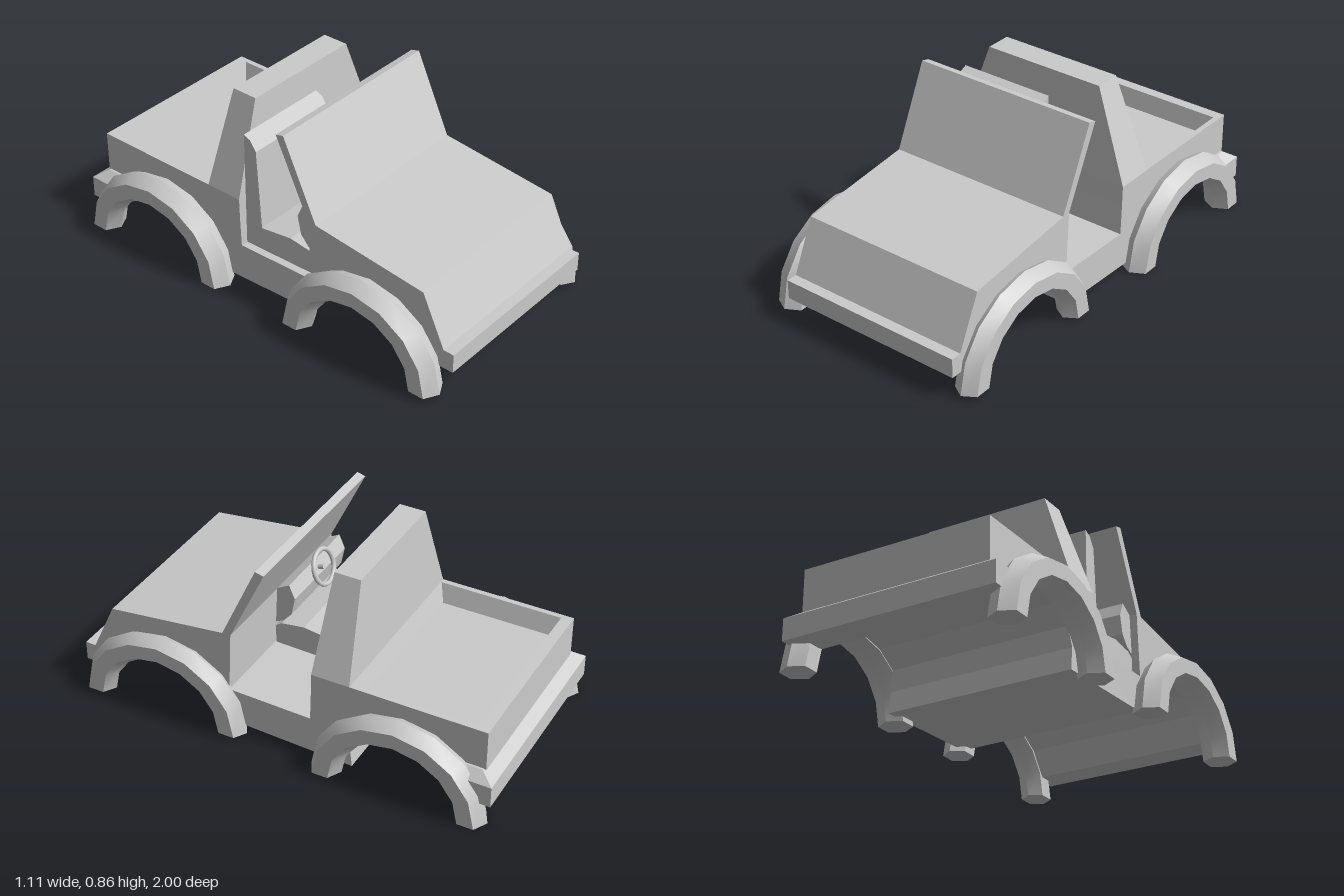
import * as THREE from 'three';
import { mergeGeometries, toCreasedNormals } from 'three/addons/utils/BufferGeometryUtils.js';

const flat = new THREE.MeshStandardMaterial({ color: 0xcccccc, flatShading: true });
const smooth = new THREE.MeshStandardMaterial({ color: 0xcccccc });
const X0 = -0.435, X1 = 0.455;

function part(name, geometry, material = flat) {
  const mesh = new THREE.Mesh(geometry, material);
  mesh.name = name;
  return mesh;
}

// Side profile of [z, y] points, extruded across from x0 to x1
function sideExtrude(points, x0 = X0, x1 = X1) {
  const shape = new THREE.Shape(points.map(([z, y]) => new THREE.Vector2(z, y)));
  const g = new THREE.ExtrudeGeometry(shape, { depth: x1 - x0, bevelEnabled: false });
  return g.rotateY(-Math.PI / 2).translate(x1, 0, 0);
}

// Rectangular sections [x0, x1, z0, z1, y] joined in order, closed at both ends
function loft(sections) {
  const pos = [], index = [];
  for (const [x0, x1, z0, z1, y] of sections) pos.push(x0, y, z1, x1, y, z1, x1, y, z0, x0, y, z0);
  for (let s = 0; s < sections.length - 1; s++) {
    for (let i = 0; i < 4; i++) {
      const a = s * 4 + i, b = s * 4 + (i + 1) % 4;
      index.push(a, b, b + 4, a, b + 4, a + 4);
    }
  }
  const t = (sections.length - 1) * 4;
  index.push(0, 2, 1, 0, 3, 2, t, t + 1, t + 2, t, t + 2, t + 3);
  const g = new THREE.BufferGeometry();
  g.setAttribute('position', new THREE.Float32BufferAttribute(pos, 3));
  g.setIndex(index);
  const out = g.toNonIndexed();
  out.computeVertexNormals();
  return out;
}

// Points of a wheel arch, angles in steps of 22.5 degrees from the front
function arch(cz, cy, rz, ry, from, to) {
  const pts = [];
  for (let i = from; i <= to; i++) {
    const a = i * Math.PI / 8;
    pts.push([cz + rz * Math.cos(a), cy + ry * Math.sin(a)]);
  }
  return pts;
}

// Half ring with a six-sided section, standing on its two ends
function fender(lo, hi, cz, cy, sy) {
  const mid = (lo + hi) / 2;
  const ring = [[0.375, lo], [0.41, mid], [0.375, hi], [0.3, hi], [0.265, mid], [0.3, lo]];
  const profile = [...ring, ring[0]].map(([r, x]) => new THREE.Vector2(r, x));
  const pieces = [new THREE.LatheGeometry(profile, 8, Math.PI, Math.PI).rotateZ(-Math.PI / 2)];
  for (const s of [1, -1]) {
    const end = new THREE.Shape(ring.map(([r, x]) => new THREE.Vector2(x, s * r)));
    pieces.push(new THREE.ShapeGeometry(end).rotateX(Math.PI / 2));
  }
  const g = mergeGeometries(pieces.map((p) => p.toNonIndexed()));
  return toCreasedNormals(g.scale(1, sy, 1).translate(0, cy, cz), 0.5);
}

export function createModel() {
  const car = new THREE.Group();
  car.name = 'openTruck';

  // Hood, floor and tub base in one profile, with both wheel arches cut through
  car.add(part('body', sideExtrude([
    [1, 0.11], [1, 0.2], [0.95, 0.2], [0.84, 0.435], [0.28, 0.5], [0.24, 0.5],
    [0.255, 0.21], [-0.14, 0.2], [-0.145, 0.34], [-0.95, 0.34], [-0.95, 0.11],
    ...arch(-0.575, 0.005, 0.3, 0.28, 2, 7).reverse(),
    [-0.33, 0.12], [-0.34, 0.02], [0.17, 0.04], [0.25, 0.05],
    ...arch(0.57, 0.02, 0.31, 0.28, 1, 7).reverse(), [0.87, 0.11],
  ])));

  // Windshield
  car.add(part('windshield', sideExtrude([[0.28, 0.5], [0.24, 0.5], [0.07, 0.855], [0.11, 0.865]])));

  // Cargo bed with sloping inner walls
  car.add(part('cargoBed', loft([
    [X0, X1, -0.95, -0.145, 0.34], [X0, X1, -0.95, -0.147, 0.435],
    [-0.41, 0.43, -0.9, -0.33, 0.435], [-0.38, 0.4, -0.875, -0.355, 0.35],
  ])));

  // Tapered cab back
  car.add(part('cabBack', loft([
    [X0, X1, -0.325, -0.147, 0.435], [-0.29, 0.3, -0.295, -0.172, 0.863],
  ])));

  // Rear bumper with a sloped top
  car.add(part('rearBumper', loft([
    [-0.495, 0.51, -1, -0.87, 0.11], [-0.495, 0.51, -1, -0.87, 0.21], [-0.445, 0.465, -0.94, -0.85, 0.25],
  ])));

  // Seat
  const seat = new THREE.Group();
  seat.name = 'seat';
  seat.add(part('seatCushion', sideExtrude(
    [[0.25, 0.2], [0.25, 0.3], [0.22, 0.32], [0.11, 0.335], [-0.06, 0.312], [-0.14, 0.31], [-0.14, 0.2]], -0.4, 0.06)));
  seat.add(part('seatBack', sideExtrude(
    [[-0.05, 0.3], [-0.075, 0.69], [-0.105, 0.735], [-0.14, 0.75], [-0.14, 0.3]], -0.4, 0.06)));
  car.add(seat);

  // Dashboard
  car.add(part('dashboard', sideExtrude(
    [[0.245, 0.5], [0.18, 0.535], [0.152, 0.47], [0.17, 0.385], [0.21, 0.34], [0.25, 0.32]], -0.4, 0.06)));

  // Steering wheel
  const wheel = part('steeringWheel', new THREE.TorusGeometry(0.08, 0.011, 8, 20), smooth);
  wheel.position.set(-0.18, 0.505, 0.14);
  wheel.rotation.x = 0.33;
  car.add(wheel);
  const column = part('steeringColumn', new THREE.CylinderGeometry(0.012, 0.012, 0.1, 8).rotateX(Math.PI / 2), smooth);
  column.position.set(-0.18, 0.49, 0.185);
  column.rotation.x = 0.33;
  car.add(column);

  // Fenders
  car.add(
    part('frontLeftFender', fender(0.42, 0.535, 0.57, 0.02, 0.915), smooth),
    part('frontRightFender', fender(-0.555, -0.425, 0.57, 0.02, 0.915), smooth),
    part('rearLeftFender', fender(0.425, 0.555, -0.575, 0.002, 0.927), smooth),
    part('rearRightFender', fender(-0.555, -0.425, -0.575, 0.002, 0.927), smooth),
  );
  return car;
}
